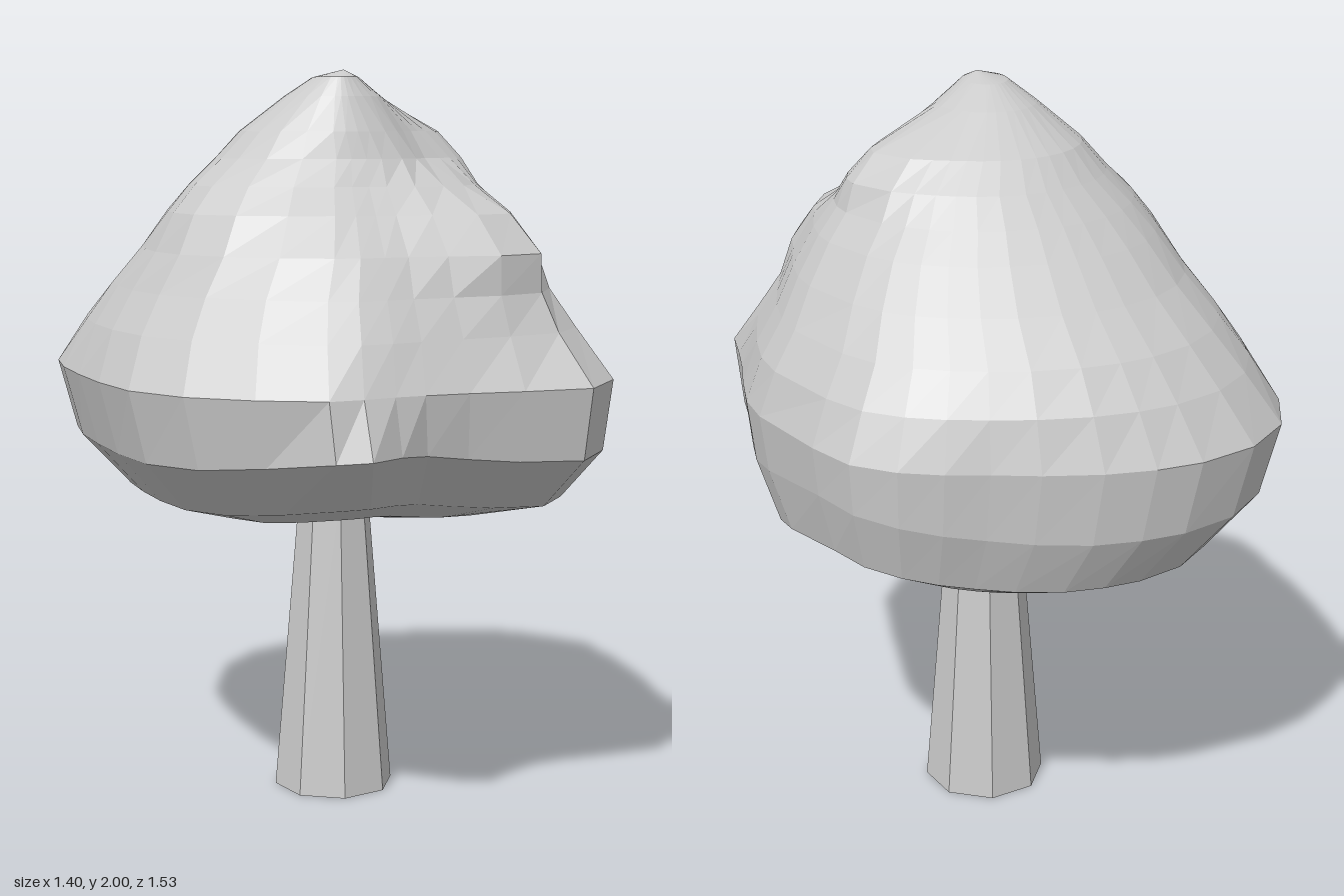
import * as THREE from 'three';

// plan outline of the crown (x, z), counter-clockwise from the back
const OUTLINE = [
  [-0.15, -0.775], [-0.28, -0.765], [-0.4, -0.735], [-0.55, -0.65], [-0.66, -0.51], [-0.705, -0.33],
  [-0.7, -0.16], [-0.67, 0.02], [-0.63, 0.2], [-0.57, 0.38], [-0.45, 0.53], [-0.29, 0.645],
  [-0.13, 0.755], [-0.04, 0.77], [0.05, 0.72], [0.13, 0.665], [0.25, 0.62], [0.4, 0.59],
  [0.59, 0.555], [0.7, 0.39], [0.69, 0.26], [0.685, 0.15], [0.685, 0], [0.68, -0.15], [0.65, -0.28],
  [0.53, -0.53], [0.45, -0.65], [0.34, -0.71], [0.23, -0.735], [0.12, -0.745], [0, -0.765],
];

// crown rings: height, xMin, xMax, zMin, zMax, roundness (0 = outline, 1 = ellipse)
const RINGS = [
  [0.765, -0.1, 0.25, -0.33, 0.0, 0.8],
  [0.8, -0.33, 0.45, -0.57, 0.27, 0.3],
  [0.86, -0.52, 0.62, -0.7, 0.53, 0.1],
  [1.01, -0.655, 0.68, -0.76, 0.745, 0],
  [1.2, -0.705, 0.7, -0.775, 0.77, 0],
  [1.33, -0.64, 0.65, -0.735, 0.65, 0.4],
  [1.43, -0.57, 0.59, -0.67, 0.57, 0.6],
  [1.53, -0.49, 0.54, -0.57, 0.51, 0.7],
  [1.63, -0.42, 0.48, -0.47, 0.43, 0.8],
  [1.7, -0.36, 0.42, -0.4, 0.36, 0.9],
  [1.77, -0.29, 0.36, -0.33, 0.3, 1],
  [1.84, -0.23, 0.27, -0.25, 0.265, 1],
  [1.93, -0.12, 0.14, -0.1, 0.22, 1],
  [1.98, -0.05, 0.07, 0.01, 0.19, 1],
];

// lumps and dents: x, y, z, spread, outward push
const LUMPS = [
  [0.4, 1.58, 0.36, 0.16, 0.1],
  [-0.33, 1.64, 0.19, 0.17, 0.04],
  [0.27, 1.83, -0.1, 0.13, 0.08],
  [0.06, 1.66, 0.4, 0.18, -0.05],
  [0.28, 1.79, 0.18, 0.12, -0.06],
  [-0.03, 1.2, 0.76, 0.13, -0.06],
  [-0.04, 1.06, 0.74, 0.09, 0.035],
];

const gauss = (d, s) => Math.exp(-(d * d) / (s * s));

function crownPoint(ring, [ox, oz]) {
  const [y, x0, x1, z0, z1, round] = ring;
  const u = ox / 0.705, v = oz / 0.775;
  const k = 1 - round + round / Math.hypot(u, v);
  const p = new THREE.Vector3((x0 + x1) / 2 + (u * k * (x1 - x0)) / 2, y, (z0 + z1) / 2 + (v * k * (z1 - z0)) / 2);
  // the rim arches up at the front and at the back left
  const rim = gauss(y - 0.95, 0.18);
  const angle = Math.atan2(u, v);
  p.y += rim * (0.06 * gauss(angle, 0.5) + 0.08 * gauss(angle - 2.3, 0.55));
  const out = new THREE.Vector3(u, 0, v).normalize();
  let push = 0;
  for (const [x, ly, z, s, a] of LUMPS) push += a * gauss(p.distanceTo(new THREE.Vector3(x, ly, z)), s);
  return p.addScaledVector(out, push);
}

function crownGeometry() {
  const n = OUTLINE.length, pos = [], idx = [];
  RINGS.forEach((ring) => OUTLINE.forEach((o) => pos.push(...crownPoint(ring, o).toArray())));
  const bottom = pos.length / 3, top = bottom + 1;
  pos.push(0.08, 0.765, -0.14, 0.03, 2, 0.11);
  const last = (RINGS.length - 1) * n;
  for (let i = 0; i < n; i++) {
    const j = (i + 1) % n;
    for (let r = 0; r < last; r += n) idx.push(r + i, r + j, r + n + j, r + i, r + n + j, r + n + i);
    idx.push(bottom, j, i, top, last + i, last + j);
  }
  const g = new THREE.BufferGeometry();
  g.setAttribute('position', new THREE.Float32BufferAttribute(pos, 3));
  g.setIndex(idx);
  g.computeVertexNormals();
  return g;
}

export function createModel() {
  const group = new THREE.Group();
  group.name = 'tree';
  const material = new THREE.MeshStandardMaterial({ color: 0xcccccc, flatShading: true });

  // tapered eight-sided trunk
  const trunk = new THREE.Mesh(new THREE.CylinderGeometry(0.098, 0.168, 0.84, 8), material);
  trunk.name = 'trunk';
  trunk.position.set(0.04, 0.42, -0.07);

  // lumpy crown of leaves
  const crown = new THREE.Mesh(crownGeometry(), material);
  crown.name = 'crown';

  group.add(trunk, crown);
  return group;
}
